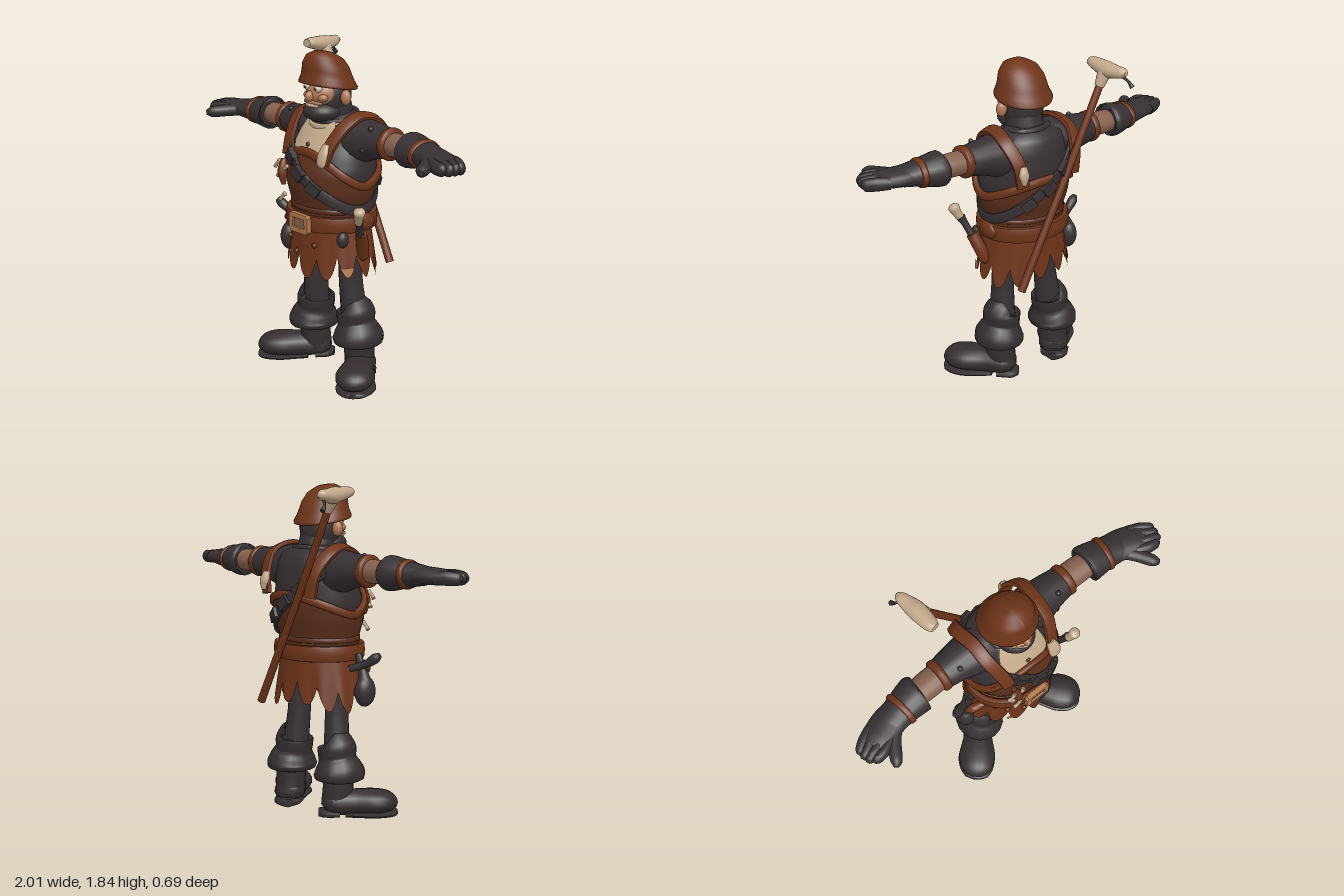
import * as THREE from 'three';
import { toCreasedNormals } from 'three/addons/utils/BufferGeometryUtils.js';

const V = (x, y, z) => new THREE.Vector3(x, y, z);
const mat = (name, color, side = THREE.FrontSide) => {
  const m = new THREE.MeshStandardMaterial({ color, side });
  m.name = name;
  return m;
};

// Skin a list of point rings; optional wrapping in both directions and end caps.
function loft(rings, { round = true, loop = false, caps = false } = {}) {
  const n = rings[0].length, m = rings.length, pos = [], idx = [];
  rings.forEach(r => r.forEach(p => pos.push(p.x, p.y, p.z)));
  for (let i = 0; i < (loop ? m : m - 1); i++) for (let j = 0; j < (round ? n : n - 1); j++) {
    const k = (i + 1) % m, l = (j + 1) % n;
    const a = i * n + j, b = i * n + l, c = k * n + l, d = k * n + j;
    idx.push(a, b, c, a, c, d);
  }
  if (caps) [0, m - 1].forEach(i => {
    const c = rings[i].reduce((s, p) => s.add(p), V(0, 0, 0)).divideScalar(n), ci = pos.length / 3;
    pos.push(c.x, c.y, c.z);
    for (let j = 0; j < n; j++) {
      const a = i * n + j, b = i * n + (j + 1) % n;
      i ? idx.push(ci, a, b) : idx.push(ci, b, a);
    }
  });
  const g = new THREE.BufferGeometry();
  g.setAttribute('position', new THREE.Float32BufferAttribute(pos, 3));
  g.setIndex(idx);
  return toCreasedNormals(g, 0.9);
}

// Smooth limb through [x, y, z, radius along ref, radius across].
function limb(pts, ref = V(0, 1, 0), sub = 4, n = 18) {
  const path = new THREE.CatmullRomCurve3(pts.map(p => V(p[0], p[1], p[2])), false, 'catmullrom', 0.4);
  const rad = new THREE.CatmullRomCurve3(pts.map(p => V(p[3], p[4] ?? p[3], 0)), false, 'catmullrom', 0.4);
  const rings = [], N = (pts.length - 1) * sub;
  for (let i = 0; i <= N; i++) {
    const c = path.getPoint(i / N), r = rad.getPoint(i / N), t = path.getTangent(i / N);
    const u = ref.clone().addScaledVector(t, -ref.dot(t)).normalize(), v = t.clone().cross(u);
    rings.push(Array.from({ length: n }, (_, j) => {
      const a = j / n * Math.PI * 2;
      return c.clone().addScaledVector(u, r.x * Math.cos(a)).addScaledVector(v, r.y * Math.sin(a));
    }));
  }
  return loft(rings, { caps: true });
}

// Flat strap along points, facing away from centre(p).
function strap(pts, width, thick, centre, loop = false) {
  const path = new THREE.CatmullRomCurve3(pts, loop), N = 48, rings = [];
  for (let i = 0; i < (loop ? N : N + 1); i++) {
    const p = path.getPoint(i / N), t = path.getTangent(i / N), n = p.clone().sub(centre(p));
    n.addScaledVector(t, -n.dot(t)).normalize();
    const b = t.clone().cross(n), f = x => Math.sign(x) * Math.sqrt(Math.abs(x));
    rings.push(Array.from({ length: 12 }, (_, j) => {
      const a = j / 12 * Math.PI * 2;
      return p.clone().addScaledVector(n, f(Math.cos(a)) * thick / 2).addScaledVector(b, f(Math.sin(a)) * width / 2);
    }));
  }
  return loft(rings, { loop, caps: !loop });
}

// Body cross-sections: height, half width, half depth, centre z.
const BODY = [[0.86, .215, .19, .06], [1, .225, .19, .06], [1.1, .255, .215, .06], [1.2, .265, .225, .055],
  [1.3, .25, .205, .035], [1.4, .225, .17, .01], [1.46, .19, .14, 0], [1.51, .1, .09, .02]];
function body(a, y, off = 0) {
  let i = 0;
  while (i < BODY.length - 2 && y > BODY[i + 1][0]) i++;
  const A = BODY[i], B = BODY[i + 1], k = THREE.MathUtils.clamp((y - A[0]) / (B[0] - A[0]), 0, 1);
  const f = c => A[c] + (B[c] - A[c]) * k;
  return V((f(1) + off) * Math.sin(a), y, f(3) + (f(2) + off) * Math.cos(a));
}
// Sheet between two heights over an angle range; at(a, v) gives the point.
const sheet = (a0, a1, at, rows = 12, cols = 96) => loft(Array.from({ length: rows + 1 }, (_, i) =>
  Array.from({ length: cols + 1 }, (_, j) => at(a0 + (a1 - a0) * j / cols, i / rows))), { round: false });
const around = (f, n = 32) => Array.from({ length: n }, (_, i) => f(i / n * Math.PI * 2));
const axis = p => V(0, p.y, .05);

export function createModel() {
  const root = new THREE.Group();
  root.name = 'miner';
  const cloth = mat('charcoalCloth', 0x373032), boot = mat('bootLeather', 0x352d2f);
  const leather = mat('brownLeather', 0x6e3419, THREE.DoubleSide), dark = mat('darkLeather', 0x5b2f1c, THREE.DoubleSide);
  const skin = mat('faceSkin', 0xb17a56), armSkin = mat('armSkin', 0x86614e), bone = mat('bone', 0xc2a88a, THREE.DoubleSide);
  const brass = mat('tanBrass', 0xb57a4c, THREE.DoubleSide), white = mat('eyeWhite', 0xd8ccb8);
  const add = (name, geo, m) => {
    const mesh = new THREE.Mesh(geo, m);
    mesh.name = name;
    root.add(mesh);
    return mesh;
  };
  const blob = (name, m, x, y, z, rx, ry = rx, rz = rx) =>
    add(name, new THREE.SphereGeometry(1, 24, 16).scale(rx, ry, rz).translate(x, y, z), m);
  const Z = V(0, 0, 1), PI = Math.PI;

  // Torso and apron
  add('torso', loft(Array.from({ length: 27 }, (_, i) => around(a => body(a, .86 + i * .025), 48)), { caps: true }), cloth);
  const edge = a => 1.135 + (Math.cos(a) > 0 ? .175 : .11) * Math.pow(Math.abs(Math.cos(a)), 1.5);
  add('apron', sheet(0, 2 * PI, (a, v) => body(a, .93 + (edge(a) - .93) * v, .013)), dark);
  add('apronRim', strap(around(a => body(a, edge(a), .014)), .045, .03, axis, true), leather);
  add('waistRim', strap(around(a => body(a, .995, .008)), .03, .025, axis, true), dark);
  add('shirtBib', sheet(-.62, .6, (a, v) => body(a, 1.31 + .16 * v, .014), 8, 16), bone);
  add('collar', strap(around(a => V(.125 * Math.sin(a), 1.475 - .02 * Math.cos(a), .035 + .115 * Math.cos(a))), .04, .03, axis, true), cloth);
  add('boneCollar', strap([-1.2, -.6, 0, .6, 1.2].map(a => V(.13 * Math.sin(a), 1.465 - .03 * Math.cos(a), .035 + .13 * Math.cos(a))), .035, .025, axis), bone);
  blob('bibToggle', dark, 0, 1.345, body(0, 1.345, .014).z, .014, .014, .008);

  // Skirt with a ragged hem
  const skirt = (off, top) => (a, v) => {
    const hem = .75 - .12 * Math.pow(Math.abs(Math.sin(6.5 * a + .6)), .8) - .02 * Math.sin(3 * a + 1) - .015 * Math.abs(Math.sin(a));
    const y = top + (Math.min(hem, top) - top) * (1 - v), k = (.94 - y) / .3;
    const w = 1 + .02 * k * Math.cos(13 * a);
    return V((.225 + .055 * k + off) * w * Math.sin(a), y, .06 + (.195 + .025 * k + off) * w * Math.cos(a));
  };
  add('skirt', sheet(0, 2 * PI, skirt(0, .94), 8, 208), leather);
  add('skirtPatch', sheet(.88, 1.35, skirt(.007, .685), 4, 24), brass);
  add('smallSkirtPatch', sheet(-.6, -.5, (a, v) => V(.277 * Math.sin(a), .675 + .035 * v, .06 + .226 * Math.cos(a)), 2, 4), brass);
  for (const [a, y] of [[-.6, .8], [-.2, .74], [.35, .8], [-.9, .86]]) {
    blob('skirtStud', leather, .255 * Math.sin(a), y, .06 + .213 * Math.cos(a), .014);
  }

  // Belt, buckle and cross strap
  add('belt', strap(around(a => body(a, .925, .032)), .09, .035, axis, true), leather);
  const outline = (w, h, c) => [[-w, c - h], [c - w, -h], [w - c, -h], [w, c - h], [w, h - c], [w - c, h], [c - w, h], [-w, h - c]].map(p => new THREE.Vector2(...p));
  const frame = new THREE.Shape(outline(.073, .05, .012));
  frame.holes.push(new THREE.Path(outline(.052, .031, .006).reverse()));
  add('buckle', new THREE.ExtrudeGeometry(frame, { depth: .02, bevelSize: .005, bevelThickness: .005, bevelSegments: 2 }).translate(.012, .92, .287), brass);
  add('bucklePlate', new THREE.BoxGeometry(.11, .07, .02).translate(.012, .92, .29), armSkin);
  const cross = (a, off) => body(a, 1.21 - .21 * Math.sin(a), off);
  add('crossStrap', strap(around(a => cross(a, .02)), .06, .022, axis, true), cloth);
  for (const a of [-.3, .05, .4, 2.7, 3.1, 3.5]) {
    const p = cross(a, .03), mesh = add('strapPouch', new THREE.BoxGeometry(.08, .06, .035), cloth);
    mesh.position.copy(p);
    mesh.rotation.set(0, a, Math.cos(a) * -.65, 'YXZ');
  }

  // Charms on the chest
  add('charmBody', limb([[-.14, 1.25, .28, .015], [-.13, 1.18, .3, .028], [-.12, 1.11, .3, .012]], Z), leather);
  for (const [x, y] of [[-.17, 1.22], [-.11, 1.2], [-.15, 1.17], [-.13, 1.04]]) {
    add('boneCharm', limb([[x - .02, y - .02, .3, .012], [x, y, .305, .009], [x + .02, y + .02, .3, .014]], Z, 3, 10), bone);
  }

  for (const s of [-1, 1]) {
    const side = s > 0 ? 'left' : 'right', name = n => side + n;
    const arm = (n, m, pts) => add(name(n), limb(pts.map(p => [p[0] * s, ...p.slice(1)])), m);
    const leg = (n, m, pts) => add(name(n), limb(pts.map(p => [p[0] * s, ...p.slice(1)]), Z), m);

    // Shoulder strap
    add(name('ShoulderStrap'), strap([[.15, 1.27, .25], [.17, 1.37, .21], [.2, 1.47, .13], [.205, 1.505, .03], [.215, 1.47, -.09], [.19, 1.37, -.165], [.17, 1.24, -.18]]
      .map(p => V(p[0] * s, p[1], p[2])), .075, .03, () => V(.12 * s, 1.25, .03)), leather);

    // Sleeve, forearm and glove
    arm('Sleeve', cloth, [[.08, 1.37, .02, .13, .12], [.2, 1.375, .015, .125, .125], [.3, 1.385, .01, .1, .105], [.41, 1.39, .01, .08, .088]]);
    arm('SleeveBand', leather, [[.4, 1.39, .01, .08, .085], [.41, 1.39, .01, .088, .092], [.435, 1.39, .01, .088, .092], [.445, 1.39, .01, .075, .08]]);
    arm('Forearm', armSkin, [[.42, 1.39, .01, .065, .075], [.52, 1.39, .012, .063, .075], [.62, 1.39, .02, .06, .065]]);
    arm('GloveCuff', cloth, [[.562, 1.39, .015, .08, .09], [.572, 1.39, .015, .095, .108], [.62, 1.39, .02, .088, .103], [.7, 1.39, .032, .068, .09], [.79, 1.388, .048, .05, .085]]);
    arm('GloveBand', leather, [[.668, 1.39, .026, .07, .085], [.676, 1.39, .027, .079, .1], [.698, 1.39, .03, .076, .098], [.706, 1.39, .031, .065, .085]]);

    // Mitten hand of close fingers
    arm('Palm', cloth, [[.72, 1.39, .035, .055, .085], [.79, 1.39, .048, .048, .09], [.87, 1.387, .075, .043, .088], [.92, 1.385, .095, .034, .08]]);
    [-1.5, -.5, .5, 1.5].forEach(k => {
      const x = .85 - .014 * k, z = .068 + .038 * k, len = .148 - .012 * Math.abs(k - .2), y = 1.386;
      const tip = z + len * .42 - .009 * k;
      arm('Finger', cloth, [[x, y, z, .034, .03], [x + len * .5, y, z + len * .22, .037, .029], [x + len * .9, y - .005, tip - .006, .032, .025], [x + len + .004, y - .008, tip, .012, .01]]);
    });
    arm('Thumb', cloth, [[.77, 1.385, .08, .035, .04], [.825, 1.38, .15, .034, .037], [.87, 1.375, .225, .032], [.892, 1.372, .253, .014]]);
    for (const [x, a] of [[.24, .5], [.3, -.4], [.33, .9]]) {
      blob(name('SleeveStud'), cloth, x * s, 1.385 + .1 * Math.sin(a), .01 + .1 * Math.cos(a), .014);
    }

    // Trouser leg and boot
    leg('Trouser', cloth, [[.13, .9, .05, .08, .08], [.143, .7, .05, .072, .06], [.15, .55, .048, .07, .062], [.165, .36, .035, .075, .075]]);
    leg('BootCuff', boot, [[.168, .4, .03, .085, .085], [.17, .395, .03, .108, .106], [.172, .355, .03, .11, .105], [.176, .325, .03, .108, .104], [.182, .295, .03, .128, .12], [.19, .25, .03, .148, .138], [.19, .215, .03, .14, .132], [.19, .2, .03, .09, .09]]);
    leg('BootShaft', boot, [[.19, .25, .025, .088, .083], [.19, .16, .02, .088, .083], [.185, .06, .01, .088, .08]]);
    arm('BootFoot', boot, [[.145, .07, -.05, .04, .05], [.175, .08, -.01, .07, .085], [.25, .08, .085, .072, .088], [.32, .082, .165, .07, .11], [.365, .08, .218, .062, .1], [.392, .07, .248, .045, .075], [.408, .06, .265, .02, .03]]);
    arm('BootHeel', boot, [[.125, .025, -.068, .024, .03], [.15, .025, -.045, .025, .075], [.2, .025, .015, .025, .085]]);
    arm('BootSole', boot, [[.22, .018, .05, .018, .08], [.26, .018, .09, .018, .092], [.325, .018, .165, .018, .113], [.37, .018, .222, .018, .1], [.4, .018, .257, .018, .07], [.412, .018, .27, .012, .03]]);

    // Ear, eye and cheek
    blob(name('Ear'), skin, .13 * s, 1.6, .07, .03, .042, .028);
    blob(name('Eye'), white, .044 * s - .005, 1.65, .186, .024, .02, .02);
    blob(name('Pupil'), cloth, .042 * s - .005, 1.648, .204, .007, .007, .005);
    blob(name('Cheek'), skin, .055 * s - .005, 1.6, .165, .034, .024, .028);
  }
  add('strapBone', limb([[.15, 1.37, .225, .015, .022], [.155, 1.32, .255, .018, .035], [.155, 1.27, .268, .015, .032], [.155, 1.25, .265, .006, .014]], Z), bone);
  add('backBone', limb([[.17, 1.36, -.18, .018, .02], [.175, 1.31, -.195, .022, .03], [.175, 1.26, -.2, .01, .012]], Z), bone);

  // Head
  add('neck', limb([[0, 1.44, .03, .11, .11], [0, 1.55, .05, .1, .1]], Z), cloth);
  blob('hood', cloth, -.005, 1.6, .06, .112, .14, .115);
  blob('face', skin, -.005, 1.615, .108, .095, .08, .1);
  blob('beard', cloth, -.005, 1.515, .118, .106, .06, .108);
  blob('nose', skin, -.005, 1.605, .205, .022, .03, .033);
  add('teeth', limb([[-.055, 1.553, .19, .008], [-.005, 1.56, .218, .011], [.045, 1.553, .19, .008]]), bone);
  add('lip', limb([[-.075, 1.567, .18, .009], [-.005, 1.576, .212, .01], [.065, 1.567, .18, .009]]), skin);

  // Helmet: a lathe with its crown pushed forward
  const crown = [[.0, .04], [.13, .005], [.148, -.02], [.16, -.018], [.161, -.004], [.146, .025], [.137, .055], [.127, .095], [.102, .135], [.055, .161], [0, .168]];
  const shell = new THREE.LatheGeometry(crown.map(p => new THREE.Vector2(...p)), 36);
  const sp = shell.attributes.position;
  for (let i = 0; i < sp.count; i++) sp.setZ(i, sp.getZ(i) + .35 * Math.max(0, sp.getY(i)));
  shell.computeVertexNormals();
  const helmet = add('helmet', shell, leather);
  helmet.position.set(-.015, 1.662, .068);
  helmet.rotation.x = -.17;

  // Pick slung across the back
  add('pickHandle', limb([[-.35, 1.77, -.2, .021], [-.08, 1.2, -.2, .021], [.2, .63, -.2, .023]], Z), leather);
  add('pickSocket', limb([[-.32, 1.71, -.2, .026], [-.345, 1.76, -.2, .035], [-.365, 1.8, -.2, .04]], Z), bone);
  add('pickHead', limb([[-.36, 1.81, -.07, .022, .026], [-.365, 1.808, -.1, .03, .04], [-.37, 1.795, -.2, .044, .05], [-.38, 1.795, -.26, .036, .042], [-.39, 1.8, -.31, .028, .03], [-.39, 1.8, -.335, .012, .012]]), bone);
  add('pickThong', limb([[-.39, 1.78, -.3, .008], [-.42, 1.75, -.32, .008], [-.43, 1.72, -.345, .014]], Z), cloth);

  // Dagger and pouch on the left hip
  add('daggerSheath', limb([[.305, .89, .115, .03, .035], [.28, .81, .08, .034, .036], [.26, .74, .06, .03, .032], [.255, .72, .055, .012]], Z), leather);
  add('daggerGrip', limb([[.305, .88, .12, .02], [.33, .95, .15, .02], [.345, .985, .165, .026]], Z), cloth);
  add('daggerPommel', limb([[.34, .97, .165, .022], [.36, 1.01, .18, .026], [.375, 1.045, .19, .032], [.38, 1.06, .195, .012]], Z), bone);
  blob('leftPouch', cloth, .23, .85, .18, .03, .045, .035);
  blob('beltRoll', leather, .25, .93, .04, .03, .05, .07);

  // Flask and club on the right hip
  blob('flask', cloth, -.335, .72, .08, .052, .085, .065);
  add('flaskNeck', limb([[-.335, .76, .08, .045], [-.315, .84, .08, .022], [-.28, .92, .08, .018]], Z), cloth);
  add('club', limb([[-.26, .84, .04, .02], [-.34, .87, .08, .022], [-.39, .905, .1, .028], [-.415, .925, .11, .015]]), cloth);
  add('clubLoop', limb([[-.23, .87, .14, .02], [-.3, .85, .12, .026], [-.335, .83, .1, .014]]), leather);

  return root;
}
